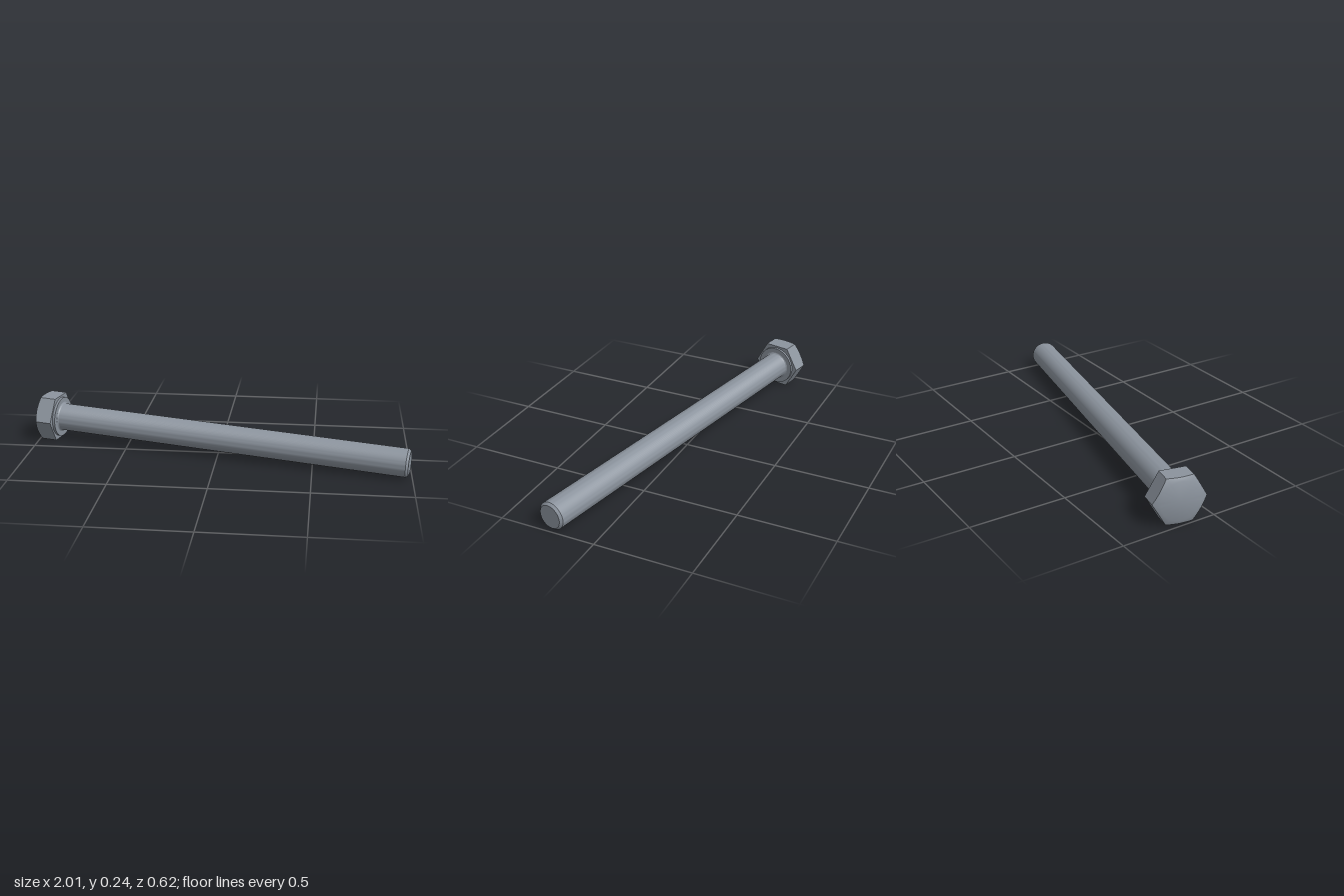
import * as THREE from 'three';
import { toCreasedNormals } from 'three/addons/utils/BufferGeometryUtils.js';

const SHAFT_R = 0.073, FLAT_R = 0.1175, WASHER_R = 0.107;

// Lathe around the bolt axis (local y) with sharp edges kept
function turned(profile) {
  const points = profile.map(([r, y]) => new THREE.Vector2(r, y));
  return toCreasedNormals(new THREE.LatheGeometry(points, 64), 0.5);
}

// Hexagonal head, its outer end cut by a shallow cone
function hexHead(top, coneStart, coneAngle) {
  const N = 72, positions = [], index = [];
  const hexR = (t) => FLAT_R / Math.cos((t % (Math.PI / 3)) - Math.PI / 6);
  const rings = [
    () => [0, -top],
    () => [coneStart, -top],
    (t) => [hexR(t), -top + (hexR(t) - coneStart) * Math.tan(coneAngle)],
    (t) => [hexR(t), 0],
    () => [0, 0],
  ];
  for (const ring of rings) {
    for (let j = 0; j < N; j++) {
      const t = (j / N) * Math.PI * 2;
      const [r, y] = ring(t);
      positions.push(r * Math.sin(t), y, r * Math.cos(t));
    }
  }
  for (let i = 0; i < rings.length - 1; i++) {
    for (let j = 0; j < N; j++) {
      const a = i * N + j, b = i * N + ((j + 1) % N);
      if (i > 0) index.push(a, b, a + N);
      if (i < rings.length - 2) index.push(b, b + N, a + N);
    }
  }
  const geometry = new THREE.BufferGeometry();
  geometry.setAttribute('position', new THREE.Float32BufferAttribute(positions, 3));
  geometry.setIndex(index);
  return toCreasedNormals(geometry, 0.5);
}

export function createModel() {
  const steel = new THREE.MeshStandardMaterial({ color: 0x8c949e });
  steel.name = 'steel';
  const model = new THREE.Group();
  model.name = 'bolt';

  // Bolt axis runs from the underside of the head to the tip
  const base = new THREE.Vector3(-0.888, 0.118, -0.161);
  const tip = new THREE.Vector3(0.986, 0.073, 0.238);
  const length = base.distanceTo(tip);
  const axis = tip.clone().sub(base).normalize();
  const side = new THREE.Vector3(-axis.z, 0, axis.x).normalize();
  const up = new THREE.Vector3().crossVectors(axis, side);
  const body = new THREE.Group();
  body.name = 'boltBody';
  body.quaternion.setFromRotationMatrix(new THREE.Matrix4().makeBasis(up, axis, side));
  body.position.copy(base);
  model.add(body);

  const add = (name, geometry) => {
    const mesh = new THREE.Mesh(geometry, steel);
    mesh.name = name;
    body.add(mesh);
  };

  add('hexHead', hexHead(0.102, 0.1, THREE.MathUtils.degToRad(25)));

  // Raised bearing face under the head
  add('washerFace', turned([[WASHER_R, 0], [WASHER_R, 0.013], [SHAFT_R - 0.01, 0.013]]));

  // Shaft with a fillet at the head and a chamfered tip
  const fillet = 0.009, profile = [];
  for (let i = 0; i <= 4; i++) {
    const a = (i / 4) * Math.PI / 2;
    profile.push([SHAFT_R + fillet * (1 - Math.sin(a)), 0.013 + fillet * (1 - Math.cos(a))]);
  }
  profile.push([SHAFT_R, length - 0.012], [0.061, length], [0, length]);
  add('shaft', turned(profile));

  return model;
}
